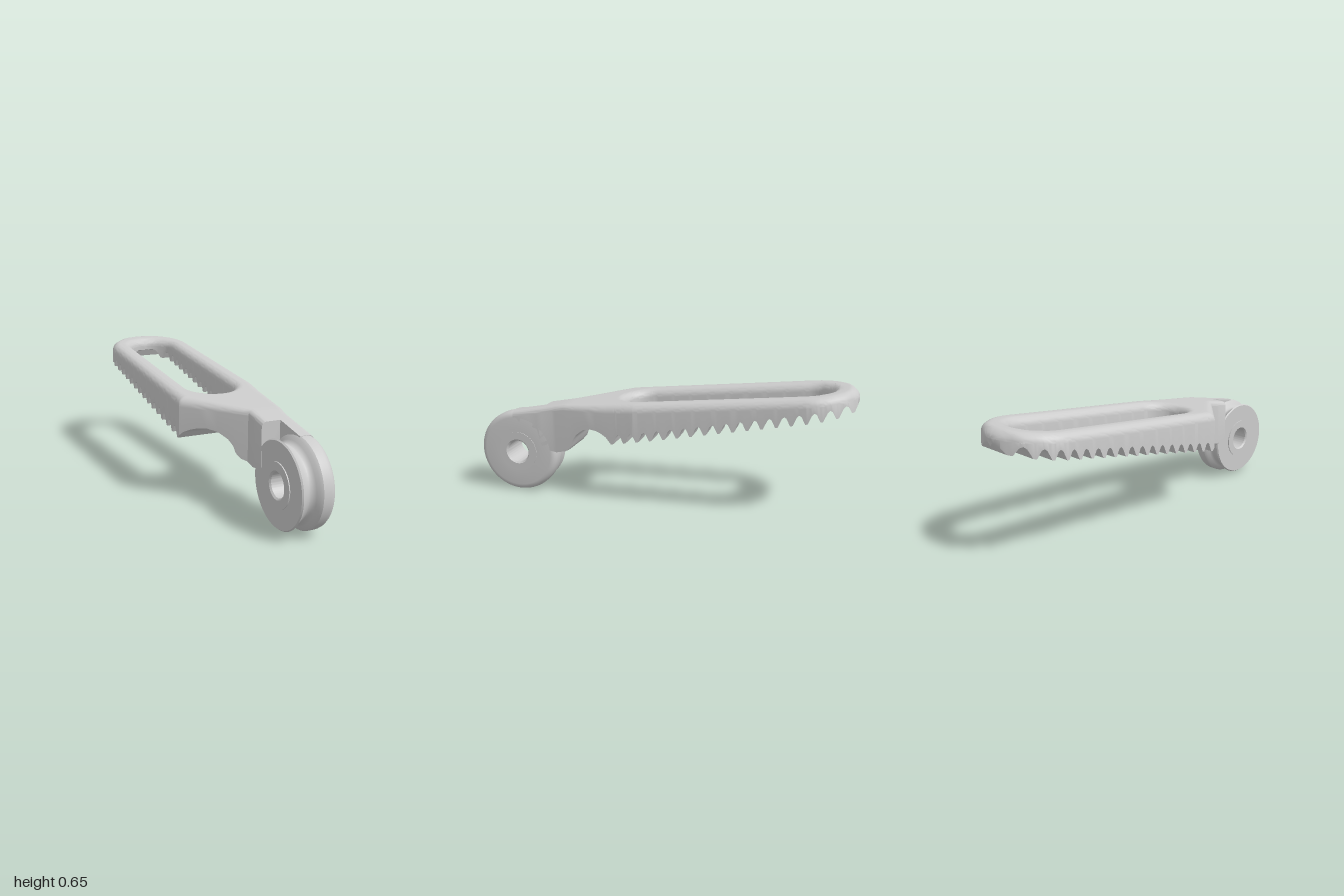
import * as THREE from 'three';
import { toCreasedNormals } from 'three/addons/utils/BufferGeometryUtils.js';

const { clamp, lerp, inverseLerp } = THREE.MathUtils;
const HALF = 0.24, BACK = -0.76;                      // half width and centre of the round back end
const SLOT_R = 0.127, SLOT_BACK = -0.75, SLOT_FRONT = 0.075;
const NECK_END = 0.63, ARM_END = 0.8;

// Piecewise linear curve through [z, value] pairs sorted by z
function curve(points) {
  return z => {
    let i = 1;
    while (i < points.length - 1 && points[i][0] < z) i++;
    const [a, b] = [points[i - 1], points[i]];
    return lerp(a[1], b[1], clamp(inverseLerp(a[0], b[0], z), 0, 1));
  };
}

// Side profile: sloping top, toothed underside, relief arch and stop ledge
const topY = curve([[-0.97, 0.652], [0.5, 0.504], [ARM_END, 0.446]]);
const under = [
  [0.25, 0.358], [0.28, 0.376], [0.31, 0.387], [0.345, 0.391], [0.385, 0.381], [0.425, 0.35],
  [0.445, 0.32], [0.455, 0.285], [0.475, 0.26], [0.5, 0.25], [0.55, 0.238], [NECK_END, 0.25],
  [0.66, 0.36], [ARM_END, 0.4],
];
const toothLine = z => 0.325 + (0.215 - z) * 0.19;
for (let k = 0; k < 18; k++) {
  const tip = 0.215 - 0.07 * k;
  for (const [dz, dy] of [[0.006, 0], [-0.006, 0], [-0.024, 0.04], [-0.035, 0.048], [-0.046, 0.04]]) {
    if (tip + dz > -1) under.push([tip + dz, toothLine(tip + dz) + dy]);
  }
}
under.push([-1, toothLine(-1) + 0.02]);
under.sort((a, b) => a[0] - b[0]);
const bottomY = curve(under);

// Plan outline
const rightEdge = curve([[0.1, HALF], [0.57, 0.175], [1, 0.175]]);
const leftEdge = curve([[0.235, -HALF], [0.5, 0.003], [1, 0.003]]);
const middle = curve([[0.235, 0], [0.5, 0.1], [1, 0.1]]);
const roundEnd = z => Math.sqrt(Math.max(0, HALF ** 2 - (z - BACK) ** 2));
const outerX = (z, side) => z < BACK ? side * roundEnd(z) : side > 0 ? rightEdge(z) : leftEdge(z);
const slotOffset = z => z - clamp(z, SLOT_BACK, SLOT_FRONT);
const slotHalf = z => Math.sqrt(Math.max(0, SLOT_R ** 2 - slotOffset(z) ** 2));

const outline = [[0.175, 1], [0.175, 0.57], [HALF, 0.1]];
for (let i = 0; i <= 32; i++) {
  const a = Math.PI * i / 32;
  outline.push([HALF * Math.cos(a), BACK - HALF * Math.sin(a)]);
}
outline.push([-HALF, 0.235], [0.003, 0.5], [0.003, 1]);

// Distance from a plan point to the nearest edge of the outline or slot
function edgeDistance(x, z) {
  let d = Math.hypot(x, slotOffset(z)) - SLOT_R;
  for (let i = 1; i < outline.length; i++) {
    const [ax, az] = outline[i - 1], [bx, bz] = outline[i];
    const ux = bx - ax, uz = bz - az;
    const t = clamp(((x - ax) * ux + (z - az) * uz) / (ux * ux + uz * uz), 0, 1);
    d = Math.min(d, Math.hypot(x - ax - t * ux, z - az - t * uz));
  }
  return Math.max(0, d);
}

// Top surface with rounded edges
function filletedTop(x, z) {
  const r = lerp(0.045, 0.028, clamp((z - 0.25) / 0.25, 0, 1));
  const inset = Math.max(0, r - edgeDistance(x, z));
  return topY(z) - r + Math.sqrt(r * r - inset * inset);
}

// Positions of the cross-sections along the arm, denser around the round ends
function sliceStations() {
  const zs = [0.1, 0.21, 0.22, 0.23, 0.235, 0.245, 0.4, 0.57, 0.72, ...under.map(p => p[0])];
  for (let i = 0; i <= 12; i++) {
    const s = Math.sin(Math.PI / 2 * i / 12);
    zs.push(BACK - HALF * s, SLOT_BACK - SLOT_R * s, SLOT_FRONT + SLOT_R * s);
  }
  zs.sort((a, b) => a - b);
  return zs.filter((z, i) => i === 0 || z - zs[i - 1] > 1e-4);
}

// Arm: a left and a right half lofted from closed cross-sections around the slot
function armGeometry() {
  const position = [], index = [], n = 20, loop = n + 3;
  for (const side of [-1, 1]) {
    const zs = sliceStations().filter(z => z <= (side < 0 ? NECK_END : ARM_END));
    const start = position.length / 3;
    const innerEdge = side > 0 ? n + 2 : n;
    zs.forEach((z, i) => {
      const inner = middle(z) + side * slotHalf(z), outer = outerX(z, side);
      // across the solid ends the halves meet on the middle line
      const [x0, x1] = side > 0 ? [inner, outer] : [outer, inner];
      const base = bottomY(z);
      const add = (x, y) => position.push(x, y, z + Math.max(0, -z - 0.6) * 0.25 * (y - base));
      for (let j = 0; j <= n; j++) {
        const x = lerp(x0, x1, (1 - Math.cos(Math.PI * j / n)) / 2);
        add(x, filletedTop(x, z));
      }
      add(x1, base);
      add(x0, base);
      if (i === 0) return;
      const open = slotHalf(z) + slotHalf(zs[i - 1]) > 1e-4 || z > NECK_END;
      for (let j = 0; j < loop; j++) {
        if (j === innerEdge && !open) continue;
        const a = start + (i - 1) * loop + j, b = start + (i - 1) * loop + (j + 1) % loop;
        index.push(a, a + loop, b, b, a + loop, b + loop);
      }
    });
    // front cap
    const last = start + (zs.length - 1) * loop;
    for (let j = 0; j <= n; j++) index.push(last + n + 2, last + j + 1, last + j);
  }
  const geometry = new THREE.BufferGeometry();
  geometry.setAttribute('position', new THREE.Float32BufferAttribute(position, 3));
  geometry.setIndex(index);
  return toCreasedNormals(geometry, 0.6);
}

// Pivot hub: grooved disc with a bored hole and a low boss on both faces, as [radius, x]
function hubGeometry() {
  const profile = [
    [0.06, 0.008], [0.068, 0], [0.11, 0], [0.11, 0.005], [0.205, 0.005], [0.21, 0.012],
    [0.2, 0.025], [0.188, 0.042], [0.183, 0.057], [0.187, 0.071], [0.198, 0.083],
    [0.213, 0.092], [0.222, 0.105], [0.222, 0.143], [0.219, 0.155], [0.212, 0.166],
    [0.202, 0.173], [0.19, 0.175], [0.11, 0.175], [0.11, 0.178], [0.068, 0.178],
    [0.06, 0.17], [0.06, 0.008],
  ].map(([r, x]) => new THREE.Vector2(r, x));
  const geometry = new THREE.LatheGeometry(profile, 64);
  geometry.rotateZ(-Math.PI / 2);
  return toCreasedNormals(geometry, 0.6);
}

export function createModel() {
  const material = new THREE.MeshStandardMaterial({ color: 0xcccccc });
  const group = new THREE.Group();
  group.name = 'toothedLever';

  const arm = new THREE.Mesh(armGeometry(), material);
  arm.name = 'slottedToothedArm';

  const hub = new THREE.Mesh(hubGeometry(), material);
  hub.name = 'pivotHub';
  hub.position.set(0, 0.223, 0.778);

  group.add(arm, hub);
  return group;
}
